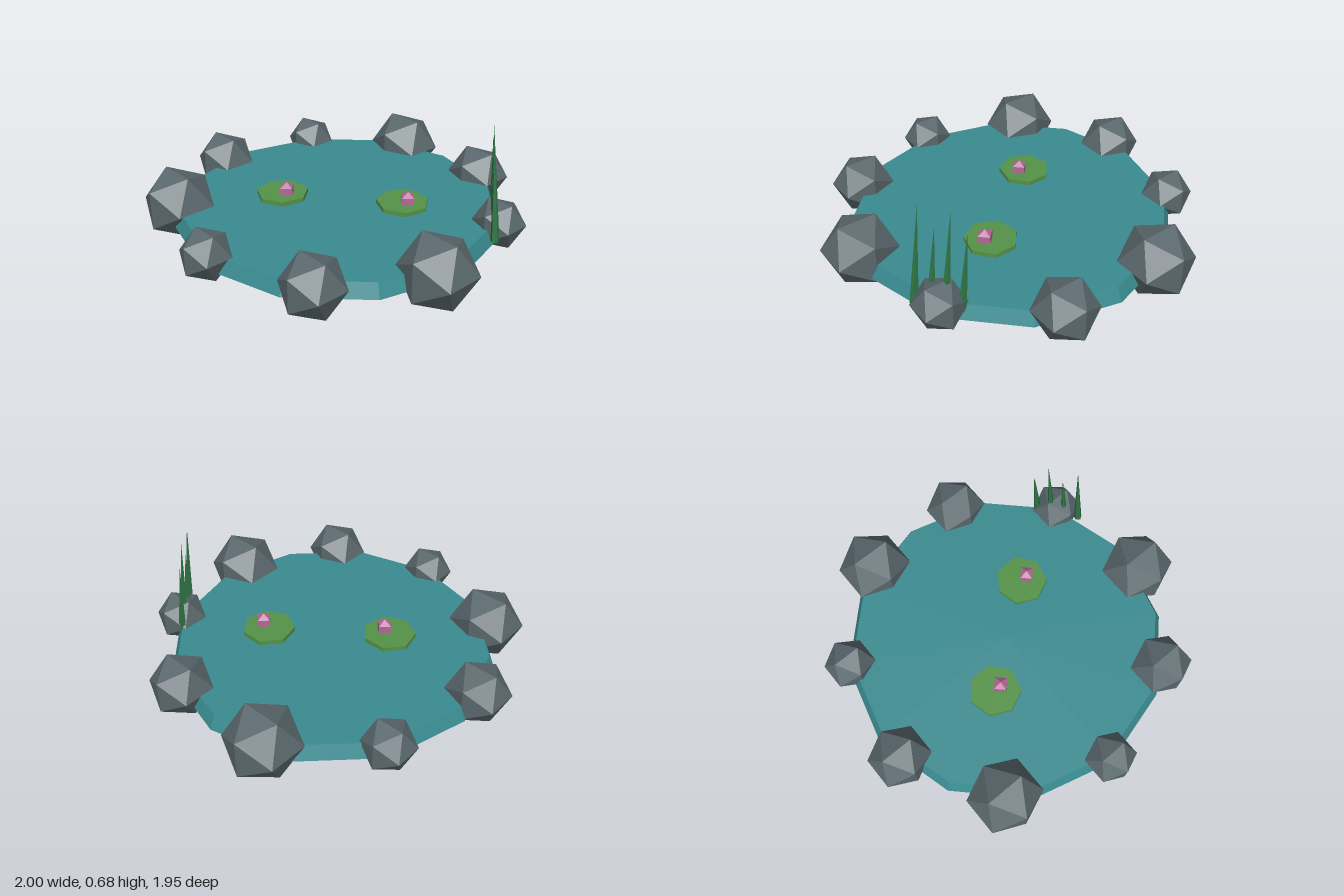
import * as THREE from 'three';

const flat = (name, color, side = THREE.FrontSide) => {
  const m = new THREE.MeshStandardMaterial({ color, flatShading: true, side });
  m.name = name;
  return m;
};

export function createModel() {
  const water = flat('water teal', 0x398b90, THREE.DoubleSide);
  const stone = flat('stone grey', 0x5a686d);
  const leaf = flat('lily green', 0x559347);
  const petal = flat('blossom pink', 0xb36896);
  const reedGreen = flat('reed green', 0x2f7545);

  const group = new THREE.Group();
  group.name = 'pond';
  const add = (name, geometry, material, x, y, z) => {
    const mesh = new THREE.Mesh(geometry, material);
    mesh.name = name;
    mesh.position.set(x, y, z);
    group.add(mesh);
    return mesh;
  };

  const cx = -0.014, cz = -0.005;

  // Twelve-sided pond: sloping wall, open underneath, with the water sheet on top
  const top = 0.172, bottom = 0.097, topRadius = 0.842;
  add('pondWall', new THREE.CylinderGeometry(topRadius, 0.874, top - bottom, 12, 1, true),
    water, cx, (top + bottom) / 2, cz);
  const sheet = new THREE.CircleGeometry(topRadius, 12).rotateX(-Math.PI / 2);
  add('waterSurface', sheet, water, cx, top, cz);

  // Nine rocks around the rim, cycling through three sizes
  const sizes = [0.139, 0.169, 0.2005];
  for (let i = 0; i < 9; i++) {
    const a = (i * Math.PI * 2) / 9;
    add('rock' + (i + 1), new THREE.IcosahedronGeometry(sizes[i % 3], 0), stone,
      cx + Math.sin(a) * 0.855, 0.1705, cz + Math.cos(a) * 0.855);
  }

  // Lily pads, each with a small faceted blossom
  [[-0.251, 0.193], [0.267, -0.204]].forEach(([x, z], i) => {
    add('lilyPad' + (i + 1), new THREE.CylinderGeometry(0.141, 0.141, 0.024, 7), leaf, x, 0.186, z);
    add('blossom' + (i + 1), new THREE.SphereGeometry(0.053, 4, 3), petal, x + 0.037, 0.212, z);
  });

  // Leaning reeds, alternately short and tall
  for (let i = 0; i < 4; i++) {
    const h = i % 2 ? 0.55 : 0.44;
    const reed = add('reed' + (i + 1), new THREE.ConeGeometry(0.023, h, 5), reedGreen,
      0.621 + i * 0.049, 0.132 + h / 2, -0.5 + i * 0.06);
    reed.rotation.z = 0.1;
  }

  return group;
}
